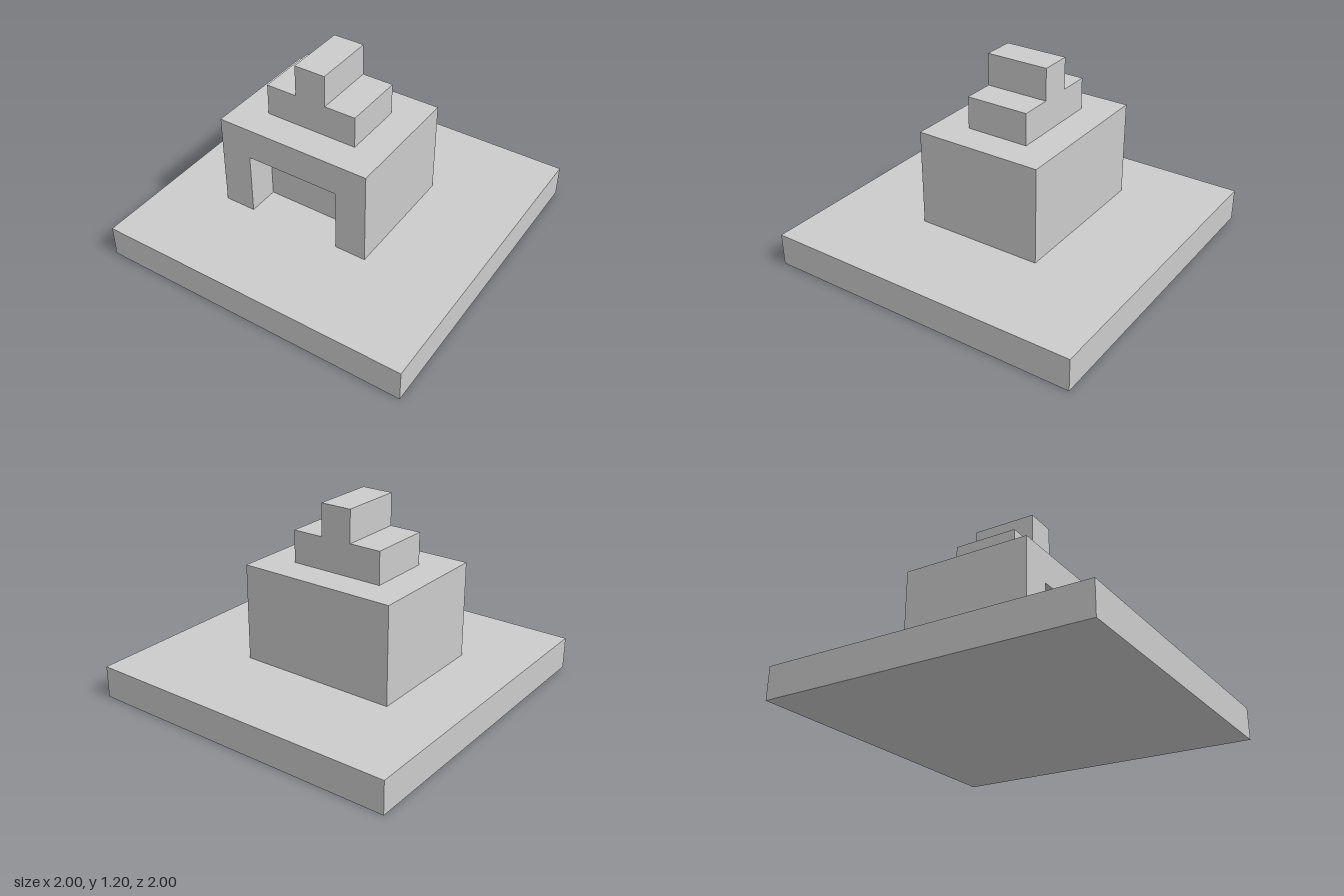
import * as THREE from 'three';

const material = new THREE.MeshStandardMaterial({ color: 0xcccccc, flatShading: true });

// Box given by its minimum and maximum corners
function block(name, [x0, y0, z0], [x1, y1, z1]) {
  const mesh = new THREE.Mesh(new THREE.BoxGeometry(x1 - x0, y1 - y0, z1 - z0), material);
  mesh.position.set((x0 + x1) / 2, (y0 + y1) / 2, (z0 + z1) / 2);
  mesh.name = name;
  return mesh;
}

// Front outline extruded from z0 to z1
function slab(name, outline, z0, z1) {
  const shape = new THREE.Shape(outline.map(([x, y]) => new THREE.Vector2(x, y)));
  const geometry = new THREE.ExtrudeGeometry(shape, { depth: z1 - z0, bevelEnabled: false });
  const mesh = new THREE.Mesh(geometry, material);
  mesh.position.z = z0;
  mesh.name = name;
  return mesh;
}

export function createModel() {
  const model = new THREE.Group();
  model.name = 'steppedHouse';

  // Square ground plate
  model.add(block('basePlate', [-1, 0, -1], [1, 0.2, 1]));

  // House body: solid rear and a front wall with a shallow doorway
  const house = new THREE.Group();
  house.name = 'house';
  house.add(block('houseRear', [-0.6, 0.2, -0.4], [0.4, 0.8, 0.2]));
  house.add(slab('doorwayWall', [
    [-0.6, 0.2], [-0.4, 0.2], [-0.4, 0.6], [0.2, 0.6],
    [0.2, 0.2], [0.4, 0.2], [0.4, 0.8], [-0.6, 0.8],
  ], 0.2, 0.4));
  model.add(house);

  // Stepped roof top
  model.add(slab('steppedRoof', [
    [-0.4, 0.8], [0.2, 0.8], [0.2, 1], [0, 1],
    [0, 1.2], [-0.2, 1.2], [-0.2, 1], [-0.4, 1],
  ], -0.2, 0.2));

  return model;
}
